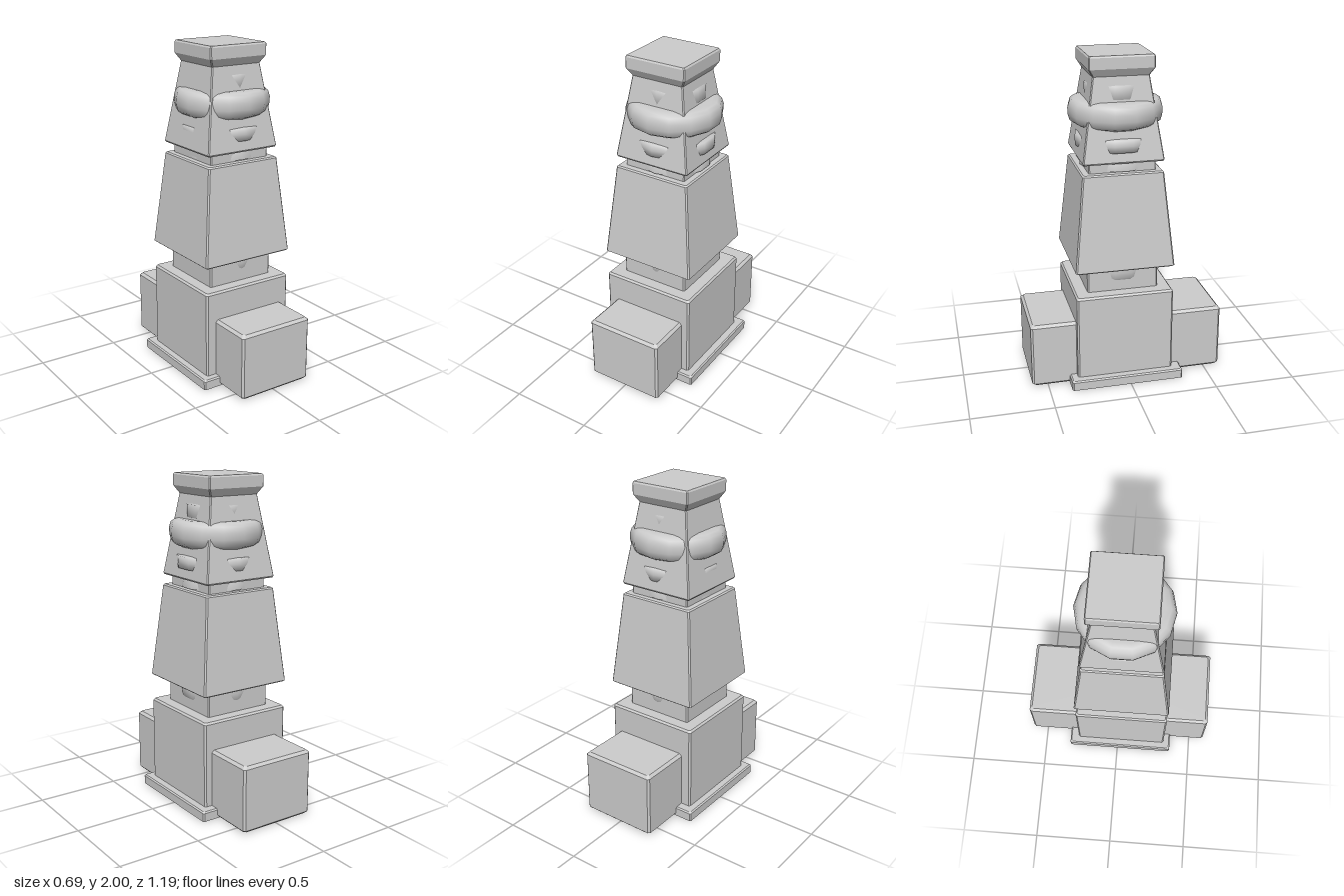
import * as THREE from 'three';

const material = new THREE.MeshStandardMaterial({ color: 0xcccccc, flatShading: true });
const shellMaterial = new THREE.MeshStandardMaterial({ color: 0xcccccc, flatShading: true, side: THREE.DoubleSide });
const smoothMaterial = new THREE.MeshStandardMaterial({ color: 0xcccccc, side: THREE.DoubleSide });

// Rectangular block lofted through levels [halfX, halfZ, y], bottom to top, with chamfered upright edges
function loft(levels, bevel, openBottom = false) {
  const pos = [];
  const ring = ([hx, hz, y]) => [
    [hx, -hz + bevel], [hx, hz - bevel], [hx - bevel, hz], [-hx + bevel, hz],
    [-hx, hz - bevel], [-hx, -hz + bevel], [-hx + bevel, -hz], [hx - bevel, -hz],
  ].map(([x, z]) => [x, y, z]);
  const tri = (...corners) => corners.forEach((c) => pos.push(...c));
  const rings = levels.map(ring);
  const last = rings.length - 1;
  for (let i = 0; i < 8; i++) {
    const j = (i + 1) % 8;
    for (let k = 0; k < last; k++) {
      const a = rings[k], b = rings[k + 1];
      tri(a[i], b[i], b[j]);
      tri(a[i], b[j], a[j]);
    }
    tri([0, levels[last][2], 0], rings[last][j], rings[last][i]);
    if (!openBottom) tri([0, levels[0][2], 0], rings[0][i], rings[0][j]);
  }
  const geometry = new THREE.BufferGeometry();
  geometry.setAttribute('position', new THREE.Float32BufferAttribute(pos, 3));
  geometry.computeVertexNormals();
  return geometry;
}

// Levels of a block with chamfered top and bottom edges
const block = (hx, hz, y0, y1, c) => [
  [hx - c, hz - c, y0], [hx, hz, y0 + c], [hx, hz, y1 - c], [hx - c, hz - c, y1],
];

export function createModel() {
  const model = new THREE.Group();
  const add = (name, geometry, x, z, mat = material) => {
    const mesh = new THREE.Mesh(geometry, mat);
    mesh.name = name;
    mesh.position.set(x, 0, z);
    model.add(mesh);
  };
  const square = (points) => points.map(([h, y]) => [h, h, y]);

  // Foot: hollow plate, long bar running front to back, and pedestal
  add('basePlate', loft([[0.345, 0.347, 0], [0.345, 0.347, 0.052], [0.337, 0.339, 0.06]], 0.008, true), 0, 0.018, shellMaterial);
  add('footBar', loft(block(0.242, 0.597, 0.004, 0.412, 0.016), 0.012), 0.005, 0);
  add('pedestal', loft([[0.297, 0.297, 0.05], [0.297, 0.297, 0.575], [0.287, 0.287, 0.587]], 0.01, true), -0.002, 0.024, shellMaterial);

  // Tapered body between two narrower necks
  add('lowerNeck', loft(block(0.217, 0.217, 0.57, 0.76, 0.008), 0.008), -0.002, 0.024);
  add('body', loft(square([[0.29, 0.742], [0.3, 0.75], [0.242, 1.32], [0.234, 1.328]]), 0.008), -0.002, 0.024);
  add('upperNeck', loft(block(0.2, 0.2, 1.31, 1.41, 0.006), 0.006), -0.002, 0.022);

  // Flaring head with its square cap
  add('head', loft(square([[0.236, 1.388], [0.241, 1.397], [0.166, 1.88], [0.193, 1.925], [0.193, 1.99], [0.187, 2]]), 0.006), -0.003, 0.021);

  // Round core whose bands show through the flat walls
  const band = (name, points) => add(name,
    new THREE.LatheGeometry(points.map(([r, y]) => new THREE.Vector2(r, y)), 14), 0.008, 0.023, smoothMaterial);
  band('lowerNeckBand', [[0.205, 0.64], [0.222, 0.665], [0.227, 0.70], [0.227, 0.74]]);
  band('upperNeckBand', [[0.216, 1.335], [0.214, 1.365], [0.206, 1.388]]);
  band('chinBand', [[0.20, 1.445], [0.24, 1.452], [0.243, 1.49], [0.241, 1.525], [0.20, 1.532]]);
  band('browBand', [[0.15, 1.74], [0.184, 1.75], [0.184, 1.825], [0.15, 1.832]]);
  band('ring', [[0.17, 1.56], [0.21, 1.573], [0.25, 1.59], [0.271, 1.605], [0.281, 1.64],
    [0.283, 1.68], [0.272, 1.715], [0.25, 1.73], [0.22, 1.737], [0.16, 1.737]]);

  return model;
}
